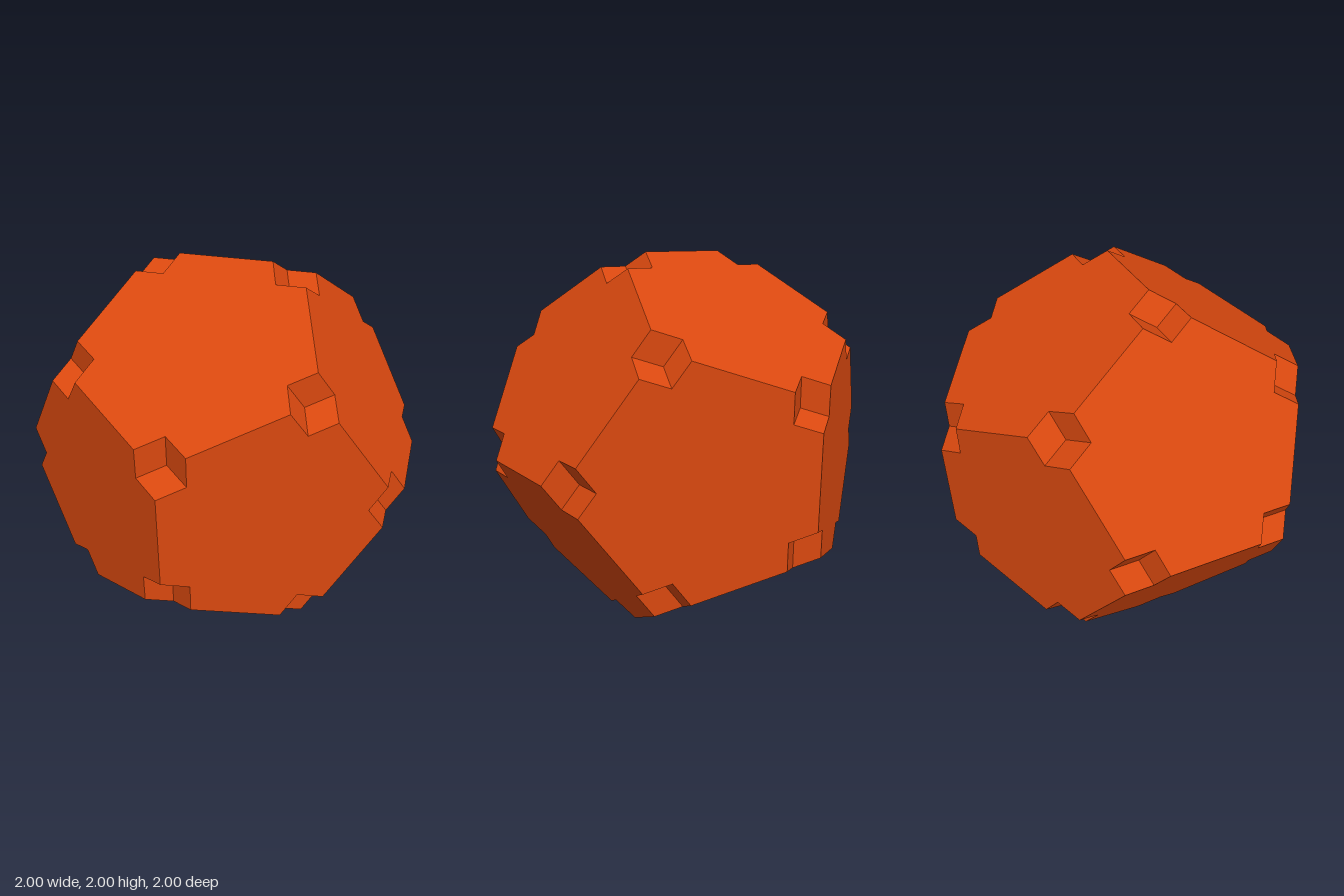
import * as THREE from 'three';
import { mergeGeometries } from 'three/addons/utils/BufferGeometryUtils.js';

const PHI = (1 + Math.sqrt(5)) / 2;
const NOTCH = 0.145; // length removed along each edge

// The three cyclic orders of (0, ±a, ±b)
function cyclic(a, b) {
  const out = [];
  for (const i of [1, -1]) for (const j of [1, -1]) {
    const p = i * a, q = j * b;
    out.push(new THREE.Vector3(0, p, q), new THREE.Vector3(q, 0, p), new THREE.Vector3(p, q, 0));
  }
  return out;
}

// Corners of a dodecahedron reaching 1 unit along each axis
function dodecahedronCorners() {
  const corners = cyclic(1 / PHI ** 2, 1);
  const c = 1 / PHI;
  for (const x of [c, -c]) for (const y of [c, -c]) for (const z of [c, -c]) {
    corners.push(new THREE.Vector3(x, y, z));
  }
  return corners;
}

// Flat pentagon with a rhombic bite at each corner
function facePlate(normal, corners) {
  const n = normal.clone().normalize();
  const ring = [...corners].sort((a, b) => b.dot(n) - a.dot(n)).slice(0, 5);
  const distance = ring[0].dot(n);
  const u = ring[0].clone().addScaledVector(n, -distance).normalize();
  const w = n.clone().cross(u);
  const angle = (p) => Math.atan2(p.dot(w), p.dot(u));
  ring.sort((a, b) => angle(a) - angle(b));
  const flat = ring.map((p) => new THREE.Vector2(p.dot(u), p.dot(w)));
  const outline = [];
  flat.forEach((p, i) => {
    const back = flat[(i + 4) % 5].clone().sub(p).setLength(NOTCH);
    const ahead = flat[(i + 1) % 5].clone().sub(p).setLength(NOTCH);
    outline.push(p.clone().add(back), p.clone().add(back).add(ahead), p.clone().add(ahead));
  });
  const basis = new THREE.Matrix4().makeBasis(u, w, n).setPosition(n.clone().multiplyScalar(distance));
  return new THREE.ShapeGeometry(new THREE.Shape(outline)).applyMatrix4(basis);
}

// Three inner walls of the dent that replaces a corner
function cornerNotch(corner, corners) {
  const edges = corners.filter((p) => p !== corner)
    .sort((a, b) => a.distanceTo(corner) - b.distanceTo(corner)).slice(0, 3)
    .map((p) => p.clone().sub(corner).setLength(NOTCH));
  const points = [];
  for (let i = 0; i < 3; i++) {
    const e = edges[i];
    let f = edges[(i + 1) % 3], g = edges[(i + 2) % 3];
    if (f.clone().cross(g).dot(e) > 0) [f, g] = [g, f]; // face the opening
    const a = corner.clone().add(e);
    const b = a.clone().add(f);
    const c = b.clone().add(g);
    const d = a.clone().add(g);
    points.push(a, b, c, a, c, d);
  }
  const geometry = new THREE.BufferGeometry().setFromPoints(points);
  geometry.computeVertexNormals();
  return geometry;
}

export function createModel() {
  const orange = new THREE.MeshStandardMaterial({ color: 0xd9480f });
  orange.name = 'burnt orange';
  const model = new THREE.Group();
  model.name = 'notchedDodecahedron';
  const corners = dodecahedronCorners();

  // Twelve outer faces
  const faces = new THREE.Mesh(
    mergeGeometries(cyclic(PHI, 1).map((n) => facePlate(new THREE.Vector3(n.z, n.x, n.y).set(n.x, n.y, n.z), corners))),
    orange);
  faces.name = 'pentagonFaces';

  // Twenty corner dents
  const notches = new THREE.Mesh(mergeGeometries(corners.map((c) => cornerNotch(c, corners))), orange);
  notches.name = 'cornerNotches';

  for (const part of [faces, notches]) {
    part.position.y = 1;
    model.add(part);
  }
  return model;
}
